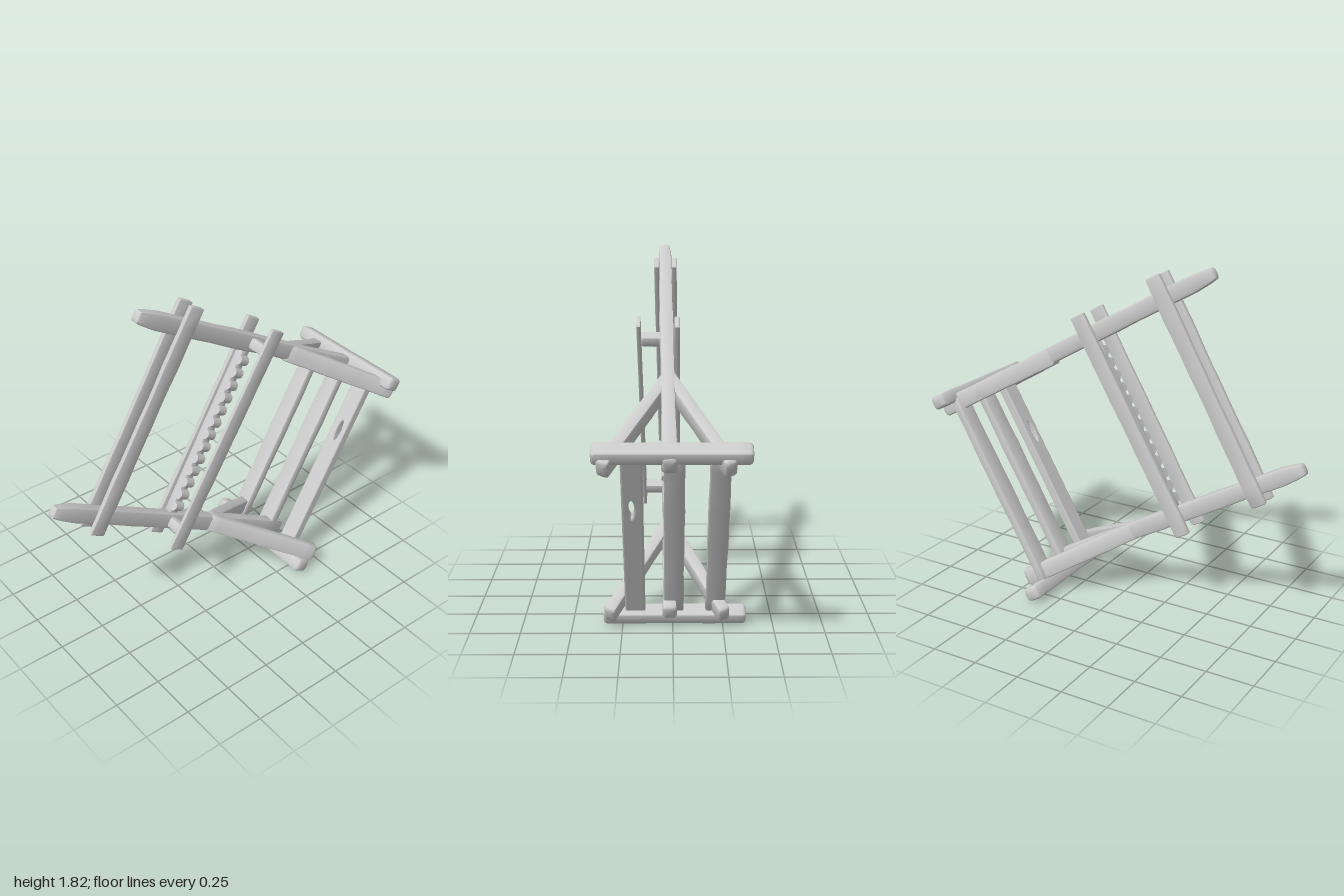
import * as THREE from 'three';
import { toCreasedNormals } from 'three/addons/utils/BufferGeometryUtils.js';

const material = new THREE.MeshStandardMaterial({ color: 0xcccccc });
const V = (x, y, z) => new THREE.Vector3(x, y, z);
const ALONG = V(1, 0, 0), ACROSS = V(0, 1, 0), DEPTH = V(0, 0, 1);

// Worn timber from a to b: w is measured along wAxis, d at right angles to it.
// nose is the length of the tapered start.
function beam(name, a, b, w, d, wAxis, { nose = 0, seed = 1, wear = 0.03 } = {}) {
  const dir = b.clone().sub(a), length = dir.length();
  dir.normalize();
  const dAxis = dir.clone().cross(wAxis).normalize();
  const side = dAxis.clone().cross(dir).normalize();
  const r = Math.min(w, d) * 0.22, end = r * 0.9;

  // Rounded rectangular section
  const section = [];
  [[1, 1], [-1, 1], [-1, -1], [1, -1]].forEach(([sx, sy], k) => {
    for (let i = 0; i <= 2; i++) {
      const t = (k + i / 2) * Math.PI / 2;
      section.push([sx * (w / 2 - r) + r * Math.cos(t), sy * (d / 2 - r) + r * Math.sin(t)]);
    }
  });

  // Stations along the beam, rounded off at both ends
  const stations = [[0, nose ? 0.5 : 0.72], [end * 0.35, nose ? 0.66 : 0.9]];
  if (nose) stations.push([nose * 0.4, 0.83], [nose, 0.98]);
  else stations.push([end, 1]);
  const first = stations[stations.length - 1][0], last = length - end;
  for (let i = 1; i < 12; i++) {
    const t = i / 12;
    stations.push([first + (last - first) * t,
      1 + wear * Math.sin(t * 17 + seed * 2.3) * Math.sin(t * 7 + seed)]);
  }
  stations.push([last, 1], [length - end * 0.35, 0.9], [length, 0.72]);

  const pos = [], index = [], n = section.length;
  for (const [t, s] of stations)
    for (const [p, q] of section) {
      const v = a.clone().addScaledVector(dir, t).addScaledVector(side, p * s).addScaledVector(dAxis, q * s);
      pos.push(v.x, v.y, v.z);
    }
  const m = stations.length, c0 = m * n;
  pos.push(a.x, a.y, a.z, b.x, b.y, b.z);
  for (let j = 0; j < n; j++) {
    const k = (j + 1) % n;
    for (let i = 0; i < m - 1; i++) {
      const o = i * n, e = o + n;
      index.push(o + j, o + k, e + k, o + j, e + k, e + j);
    }
    index.push(c0, k, j, c0 + 1, (m - 1) * n + j, (m - 1) * n + k);
  }
  const g = new THREE.BufferGeometry();
  g.setAttribute('position', new THREE.Float32BufferAttribute(pos, 3));
  g.setIndex(index);
  return named(name, toCreasedNormals(g, 0.75));
}

function named(name, geometry) {
  const mesh = new THREE.Mesh(geometry, material);
  mesh.name = name;
  return mesh;
}

// Flat plank with a worn slot, facing along x
function slottedPlank(x, z, v0, v1) {
  const h = 0.05 - 0.008;
  const shape = new THREE.Shape();
  shape.moveTo(-h, v0); shape.lineTo(h, v0); shape.lineTo(h, v1); shape.lineTo(-h, v1);
  const slot = new THREE.Path();
  slot.absellipse(0.005, 0.7, 0.022, 0.07, 0, Math.PI * 2, true);
  shape.holes.push(slot);
  const g = new THREE.ExtrudeGeometry(shape, {
    depth: 0.034, bevelThickness: 0.008, bevelSize: 0.008, bevelSegments: 2, curveSegments: 10 });
  g.rotateY(-Math.PI / 2).translate(x + 0.017, 0, z);
  return named('slottedEndPlank', g);
}

export function createModel() {
  const model = new THREE.Group();
  model.name = 'timberFrame';

  // The frame is built square, x along the rails and y across, then tipped over
  const frame = new THREE.Group();
  frame.name = 'tippedFrame';
  frame.position.set(-0.98, 0.91, 0);
  frame.rotation.z = -Math.PI / 6;
  model.add(frame);

  const ends = [
    { name: 'lower', y: 0.005, z: 0.02, out: -1, barY: -0.07, barX: 1.588, z0: -0.365, z1: 0.345 },
    { name: 'upper', y: 1.03, z: 0.038, out: 1, barY: 1.064, barX: 1.6, z0: -0.35, z1: 0.362 },
  ];
  ends.forEach((e, i) => {
    // Long rail with a tapered tip
    frame.add(beam(e.name + 'Rail', V(-0.015, e.y, e.z), V(1.65, e.y, 0.015), 0.088, 0.07, ACROSS,
      { nose: 0.13, seed: i + 1, wear: 0.07 }));
    // Foot bar lying over the rail end
    frame.add(beam(e.name + 'FootBar', V(e.barX, e.barY, e.z0), V(e.barX, e.barY, e.z1), 0.072, 0.085, ACROSS,
      { seed: i + 3 }));
    // Two splayed braces from the rail to the foot bar
    const y = e.y - (i ? 0.008 : 0);
    frame.add(beam(e.name + 'FrontBrace', V(1.06, y, 0.02), V(1.66, y, 0.315), 0.092, 0.062, ACROSS, { seed: i + 5 }));
    frame.add(beam(e.name + 'BackBrace', V(1.06, y, 0.02), V(1.66, y, -0.255), 0.092, 0.062, ACROSS, { seed: i + 7 }));
  });

  // Pair of thin cross planks clasping the rails near their tips
  for (const [name, z] of [['frontCrossPlank', 0.062], ['backCrossPlank', -0.027]])
    frame.add(beam(name, V(0.277, -0.085, z), V(0.28, 1.15, z + 0.018), 0.085, 0.026, ALONG, { seed: z * 50, wear: 0.06 }));

  // Middle planks: one against the back, one held off the front by pegs
  frame.add(beam('backMiddlePlank', V(0.765, -0.1, -0.03), V(0.775, 1.15, -0.022), 0.085, 0.026, ALONG, { seed: 4 }));
  frame.add(beam('frontMiddlePlank', V(0.765, -0.1, 0.148), V(0.775, 1.153, 0.165), 0.085, 0.02, ALONG, { seed: 6 }));
  for (const y of [0.005, 1.035])
    frame.add(beam('peg', V(0.77, y, 0.02), V(0.77, y, 0.155), 0.058, 0.058, ALONG));

  // Scalloped strip along the back middle plank
  frame.add(beam('scallopedStrip', V(0.77, 0.03, 0.008), V(0.77, 1, 0.012), 0.055, 0.05, ALONG));
  for (let i = 0; i < 13; i++) {
    const tooth = named('scallop', new THREE.CylinderGeometry(0.027, 0.027, 0.054, 12));
    tooth.rotation.z = Math.PI / 2;
    tooth.position.set(0.77, 0.09 + i * 0.07, 0.032);
    frame.add(tooth);
  }

  // Three planks joining the two foot bars
  frame.add(slottedPlank(1.575, 0.187, -0.04, 1.035));
  for (const z of [-0.005, -0.212])
    frame.add(beam('endPlank', V(1.575, -0.05, z), V(1.575, 1.045, z), 0.098, 0.05, DEPTH, { seed: z * 20, wear: 0.04 }));

  return model;
}
